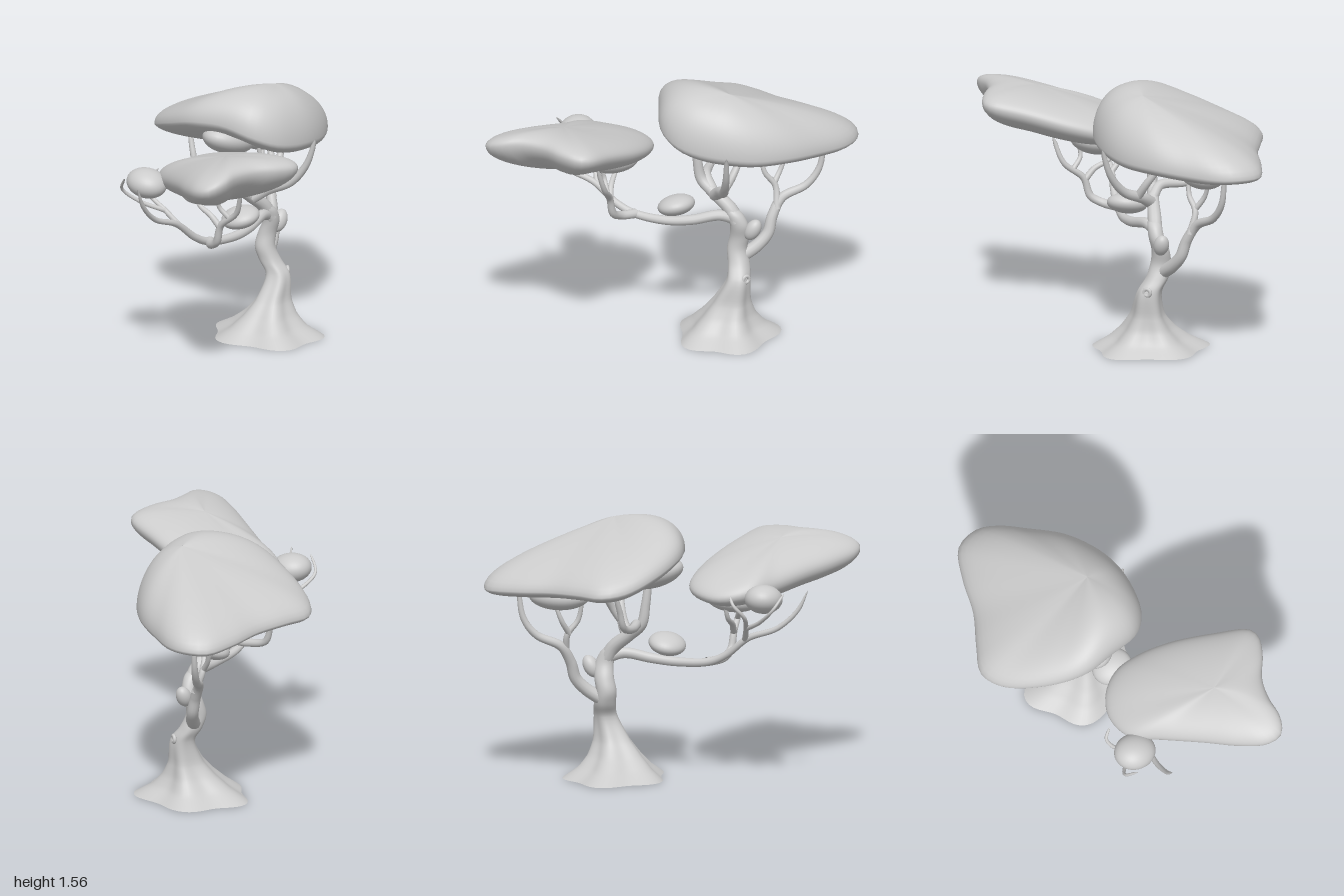
import * as THREE from 'three';

const mat = new THREE.MeshStandardMaterial({ color: 0xcccccc, side: THREE.DoubleSide });
const V = (p) => new THREE.Vector3(...p);

// Smooth skin over closed rings of equal length, listed from bottom to top
function loft(rings) {
  const n = rings[0].length, index = [];
  for (let i = 0; i < rings.length - 1; i++) {
    for (let j = 0; j < n; j++) {
      const k = (j + 1) % n, a = i * n + j, b = i * n + k;
      index.push(a, a + n, b, b, a + n, b + n);
    }
  }
  const g = new THREE.BufferGeometry();
  g.setAttribute('position', new THREE.Float32BufferAttribute(rings.flat(2), 3));
  g.setIndex(index);
  g.computeVertexNormals();
  return g;
}

// Leaf pad: a domed slab inside a 3D rim, swelling up and down from its centre.
// edge gives the sharpness of the upper rim: a constant plus slopes along x and z
function pad({ rim, centre, up, down, edge: [e, ex, ez] }) {
  const points = new THREE.CatmullRomCurve3(rim.map(V), true).getSpacedPoints(72).slice(0, 72);
  const rings = [], steps = 36, c = V(centre);
  for (let i = 0; i <= steps; i++) {
    const a = (i / steps - 0.5) * Math.PI * 0.9995;
    const lift = Math.sin(a) * (a > 0 ? up : down);
    rings.push(points.map((p) => {
      const s = Math.pow(Math.cos(a), a > 0 ? e + ex * p.x + ez * p.z : 1);
      const q = c.clone().lerp(p, s);
      return [q.x, q.y + lift, q.z];
    }));
  }
  return loft(rings);
}

// Tapered branch along a smooth path, with a pointed tip
function branch(points, r0, r1) {
  const curve = new THREE.CatmullRomCurve3(points.map(V));
  const n = points.length * 8, sides = 12;
  const g = new THREE.TubeGeometry(curve, n, 1, sides);
  const pos = g.attributes.position, v = new THREE.Vector3();
  for (let i = 0; i <= n; i++) {
    const t = i / n, c = curve.getPointAt(t);
    const r = (r0 + (r1 - r0) * t) * Math.sqrt(Math.min(1, (1 - t) * 12 + 0.002));
    for (let j = 0; j <= sides; j++) {
      const k = i * (sides + 1) + j;
      v.fromBufferAttribute(pos, k).sub(c).multiplyScalar(r).add(c);
      pos.setXYZ(k, v.x, v.y, v.z);
    }
  }
  return g;
}

// Trunk: ellipse sections whose root lobes fade out with height
function trunk() {
  // centre x, y, centre z, radius x, radius z, lobe strength
  const keys = [
    [-0.055, 0, -0.305, 0.33, 0.285, 0.09],
    [-0.05, 0.06, -0.3, 0.225, 0.21, 0.1],
    [-0.04, 0.13, -0.31, 0.15, 0.155, 0.09],
    [-0.03, 0.22, -0.335, 0.095, 0.108, 0.07],
    [-0.03, 0.36, -0.375, 0.072, 0.068, 0.04],
    [-0.08, 0.44, -0.365, 0.066, 0.064, 0.02],
    [-0.105, 0.52, -0.35, 0.06, 0.06, 0],
    [-0.1, 0.6, -0.365, 0.052, 0.058, 0],
    [-0.075, 0.68, -0.37, 0.045, 0.055, 0],
    [-0.07, 0.745, -0.345, 0.042, 0.05, 0],
    [-0.075, 0.79, -0.31, 0.03, 0.035, 0],
  ];
  const pos = new THREE.CatmullRomCurve3(keys.map((k) => V(k.slice(0, 3))));
  const rad = new THREE.CatmullRomCurve3(keys.map((k) => V(k.slice(3))));
  const rings = [], steps = 50, sides = 60;
  for (let i = 0; i <= steps; i++) {
    const c = pos.getPoint(i / steps), r = rad.getPoint(i / steps), ring = [];
    for (let j = 0; j < sides; j++) {
      const a = (j / sides) * Math.PI * 2;
      const f = 1 + r.z * Math.cos(5 * (a - Math.PI));
      ring.push([c.x + r.x * f * Math.cos(a), c.y, c.z + r.y * f * Math.sin(a)]);
    }
    rings.push(ring);
  }
  return loft(rings);
}

export function createModel() {
  const model = new THREE.Group();
  const add = (name, geometry) => {
    const m = new THREE.Mesh(geometry, mat);
    m.name = name;
    model.add(m);
    return m;
  };

  add('trunk', trunk());
  const knot = add('knotHole', new THREE.TorusGeometry(0.02, 0.011, 10, 24));
  knot.position.set(0.0, 0.37, -0.43);
  knot.rotation.y = 2.4;

  // Large leaf pads
  add('backCanopy', pad({
    rim: [[-0.4, 1.17, -1], [-0.28, 1.17, -0.97], [-0.13, 1.18, -0.87], [0.05, 1.2, -0.73], [0.18, 1.21, -0.55],
      [0.24, 1.23, -0.38], [0.25, 1.25, -0.2], [0.22, 1.28, -0.06], [0.13, 1.33, 0.05], [-0.05, 1.38, 0.11],
      [-0.25, 1.37, 0.15], [-0.48, 1.3, 0.09], [-0.7, 1.22, -0.05], [-0.77, 1.2, -0.18], [-0.72, 1.2, -0.34],
      [-0.64, 1.19, -0.54], [-0.6, 1.175, -0.76], [-0.53, 1.165, -0.95]],
    centre: [0.0, 1.28, -0.33], up: 0.26, down: 0.115, edge: [0.9, -1.2, -0.5],
  }));
  add('frontCanopy', pad({
    rim: [[-0.21, 1.12, 0.37], [-0.16, 1.13, 0.23], [-0.05, 1.15, 0.14], [0.1, 1.18, 0.12], [0.3, 1.23, 0.15],
      [0.55, 1.3, 0.24], [0.73, 1.34, 0.32], [0.76, 1.345, 0.38], [0.73, 1.355, 0.5], [0.66, 1.36, 0.63],
      [0.64, 1.36, 0.76], [0.65, 1.345, 0.89], [0.61, 1.32, 0.98], [0.52, 1.3, 0.99], [0.38, 1.27, 0.92],
      [0.2, 1.23, 0.79], [0, 1.18, 0.65], [-0.16, 1.15, 0.54]],
    centre: [0.38, 1.27, 0.57], up: 0.125, down: 0.145, edge: [0.85, 0.3, 0],
  }));

  // Small leaf clumps: position, radii, tilt about x and z
  const clumps = [
    [[-0.17, 1.13, 0.63], [0.125, 0.085, 0.11], 0, -0.15],
    [[0.08, 1.09, 0.37], [0.15, 0.085, 0.17], 0.1, 0.15],
    [[-0.29, 1.11, -0.58], [0.13, 0.085, 0.185], 0, 0.1],
    [[-0.13, 1.24, -0.05], [0.13, 0.085, 0.18], -0.3, 0],
    [[0, 0.8, -0.01], [0.12, 0.06, 0.11], 0.25, 0.15],
    [[-0.08, 0.655, -0.45], [0.045, 0.07, 0.045], -0.5, 0],
  ];
  for (const [p, r, tx, tz] of clumps) {
    const m = add('leafClump', new THREE.SphereGeometry(1, 32, 20));
    m.position.set(...p);
    m.scale.set(...r);
    m.rotation.set(tx, 0, tz);
  }

  // Limbs and their twigs: path, start radius, end radius
  const limbs = {
    // Long limb reaching forward to the lower pad
    frontLimb: [
      [[[-0.08, 0.71, -0.36], [-0.05, 0.74, -0.26], [-0.01, 0.71, -0.1], [0, 0.695, 0.05], [-0.02, 0.71, 0.25],
        [-0.03, 0.76, 0.36], [-0.05, 0.87, 0.5], [-0.06, 0.94, 0.68], [-0.05, 1.05, 0.8], [-0.04, 1.17, 0.86]], 0.034, 0.011],
      [[[-0.02, 0.71, 0.24], [0.05, 0.72, 0.31], [0.12, 0.76, 0.34], [0.16, 0.87, 0.35], [0.28, 0.97, 0.35], [0.34, 1.13, 0.38]], 0.028, 0.012],
      [[[0.15, 0.86, 0.35], [0.09, 0.92, 0.36], [0.0, 0.97, 0.36], [-0.04, 1.08, 0.35]], 0.02, 0.01],
      [[[0.22, 0.93, 0.35], [0.17, 1.0, 0.38], [0.2, 1.12, 0.4]], 0.016, 0.009],
      [[[-0.05, 0.86, 0.48], [-0.13, 0.94, 0.51], [-0.24, 1.03, 0.53], [-0.28, 1.1, 0.48], [-0.24, 1.16, 0.44]], 0.018, 0.008],
      [[[-0.13, 0.94, 0.51], [-0.22, 1.0, 0.62], [-0.28, 1.09, 0.72], [-0.22, 1.18, 0.77]], 0.015, 0.007],
    ],
    // Limb rising from low on the back of the trunk
    backLimb: [
      [[[-0.1, 0.46, -0.36], [-0.145, 0.53, -0.46], [-0.18, 0.6, -0.515], [-0.21, 0.7, -0.535], [-0.26, 0.8, -0.58],
        [-0.32, 0.87, -0.71], [-0.35, 0.97, -0.78], [-0.36, 1.16, -0.81]], 0.042, 0.013],
      [[[-0.22, 0.74, -0.56], [-0.26, 0.87, -0.54], [-0.24, 0.96, -0.48], [-0.25, 1.1, -0.45]], 0.022, 0.011],
      [[[-0.26, 0.88, -0.53], [-0.31, 0.96, -0.56], [-0.33, 1.08, -0.6]], 0.018, 0.01],
    ],
    // Crown limb carrying the upper pad
    upperLimb: [
      [[[-0.07, 0.7, -0.36], [-0.08, 0.78, -0.31], [-0.1, 0.86, -0.21], [-0.12, 0.93, -0.13], [-0.12, 1.05, -0.105], [-0.11, 1.2, -0.09]], 0.045, 0.022],
      [[[-0.1, 0.88, -0.2], [-0.16, 0.935, -0.15], [-0.32, 0.935, -0.13], [-0.45, 0.97, -0.14], [-0.49, 1.07, -0.15], [-0.53, 1.19, -0.17]], 0.032, 0.014],
      [[[-0.09, 0.85, -0.22], [-0.02, 0.9, -0.27], [0.11, 0.96, -0.325], [0.2, 1.07, -0.36], [0.26, 1.24, -0.38]], 0.038, 0.013],
      [[[0.02, 0.91, -0.29], [-0.02, 1.0, -0.34], [-0.08, 1.1, -0.37], [-0.1, 1.22, -0.38]], 0.026, 0.015],
    ],
  };
  for (const [name, list] of Object.entries(limbs)) {
    for (const [path, r0, r1] of list) add(name, branch(path, r0, r1));
  }
  return model;
}
